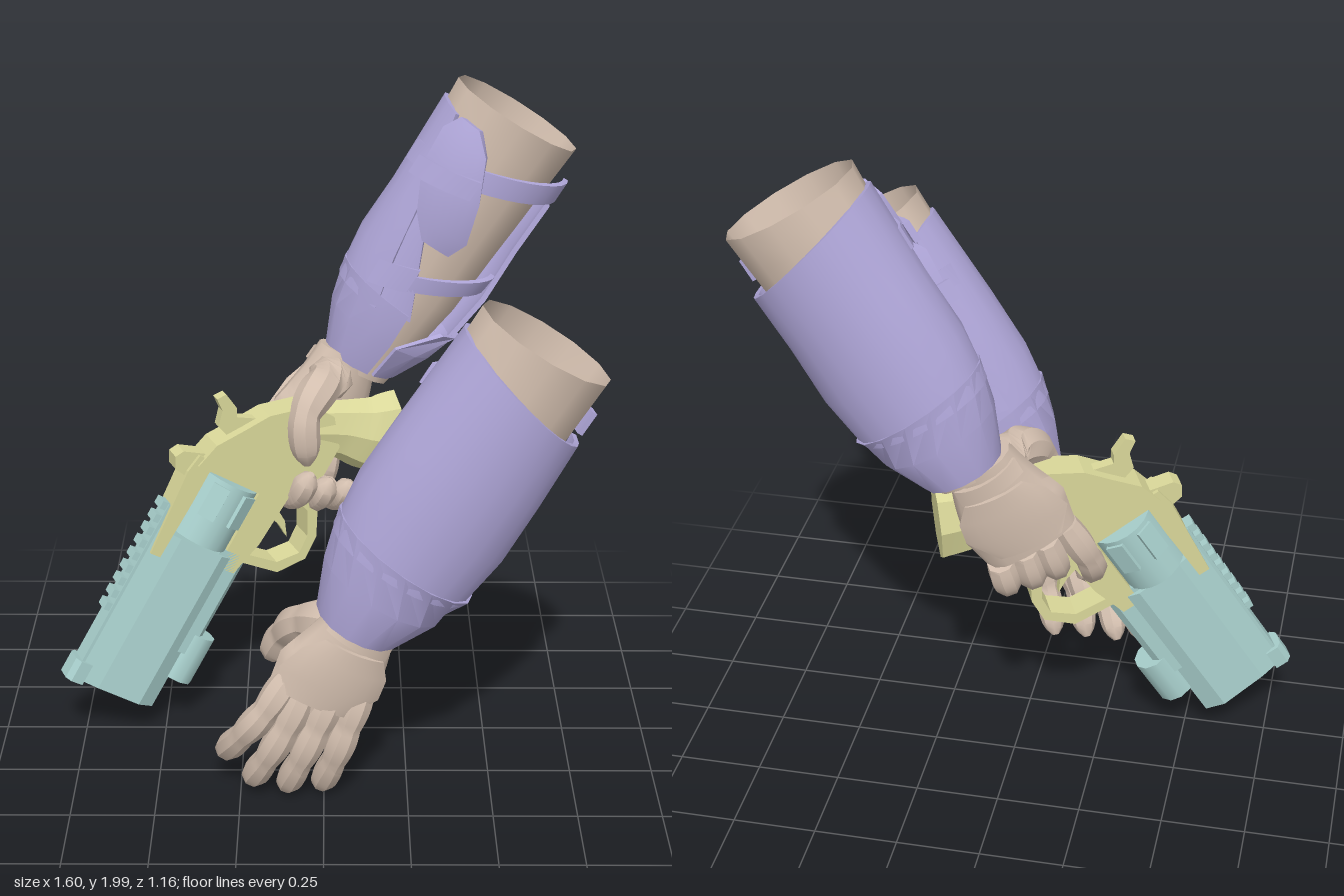
import * as THREE from 'three';
import { toCreasedNormals } from 'three/addons/utils/BufferGeometryUtils.js';

const mat = (name, color) => {
  const m = new THREE.MeshStandardMaterial({ color, side: THREE.DoubleSide });
  m.name = name;
  return m;
};
const V = (x, y, z) => new THREE.Vector3(x, y, z);
const RAD = Math.PI / 180;

export function createModel() {
  const skin = mat('skin', 0xd2beae), purple = mat('purple guard', 0xafa6d8);
  const teal = mat('teal metal', 0xa8cfcc), olive = mat('olive frame', 0xd9d799);
  const root = new THREE.Group();
  root.name = 'armsWithRevolver';

  const add = (parent, name, geo, m) => {
    const mesh = new THREE.Mesh(geo, m);
    mesh.name = name;
    parent.add(mesh);
    return mesh;
  };
  const group = (parent, name, x = 0, y = 0, z = 0, rz = 0) => {
    const g = new THREE.Group();
    g.name = name;
    g.position.set(x, y, z);
    g.rotation.z = rz;
    parent.add(g);
    return g;
  };

  // Skin a list of closed rings, with optional end caps
  function loft(rings, { caps = false, flip = false, crease = 0.65 } = {}) {
    const n = rings[0].length, pos = [], idx = [];
    const tri = (a, b, c) => (flip ? idx.push(a, c, b) : idx.push(a, b, c));
    rings.forEach((r) => r.forEach((p) => pos.push(p.x, p.y, p.z)));
    for (let j = 0; j < rings.length - 1; j++) {
      for (let k = 0; k < n; k++) {
        const a = j * n + k, b = j * n + (k + 1) % n;
        tri(a, b, a + n);
        tri(b, b + n, a + n);
      }
    }
    if (caps) {
      [0, rings.length - 1].forEach((j) => {
        const c = rings[j].reduce((s, p) => s.add(p), V(0, 0, 0)).divideScalar(n);
        const ci = pos.length / 3;
        pos.push(c.x, c.y, c.z);
        for (let k = 0; k < n; k++) {
          const a = j * n + k, b = j * n + (k + 1) % n;
          if (j) tri(ci, a, b); else tri(ci, b, a);
        }
      });
    }
    const g = new THREE.BufferGeometry();
    g.setAttribute('position', new THREE.Float32BufferAttribute(pos, 3));
    g.setIndex(idx);
    return toCreasedNormals(g, crease);
  }

  // Sweep an ellipse along points [x, y, z, radius along wide, other radius]
  function limb(parent, name, m, pts, wide, o = {}) {
    const { sides = 10, samples = 12, round = false, joints = 0, caps = true, crease = 0.75 } = o;
    const curve = new THREE.CatmullRomCurve3(pts.map((p) => V(p[0], p[1], p[2])));
    const rings = [];
    for (let i = 0; i <= samples; i++) {
      const u = i / samples, f = u * (pts.length - 1);
      const k = Math.min(Math.floor(f), pts.length - 2), w = f - k;
      let q = round && u > 0.87 ? Math.sqrt(Math.max(0.1, 1 - ((u - 0.87) / 0.13) ** 2)) : 1;
      if (joints) q *= 0.88 + 0.14 * Math.abs(Math.sin(joints * Math.PI * u));
      const ra = q * (pts[k][3] + (pts[k + 1][3] - pts[k][3]) * w);
      const rb = q * (pts[k][4] + (pts[k + 1][4] - pts[k][4]) * w);
      const c = curve.getPoint(u), t = curve.getTangent(u);
      const s = wide.clone().addScaledVector(t, -wide.dot(t)).normalize();
      const nn = t.clone().cross(s);
      rings.push(Array.from({ length: sides }, (_, e) => {
        const a = (e / sides) * Math.PI * 2;
        return c.clone().addScaledVector(s, ra * Math.cos(a)).addScaledVector(nn, rb * Math.sin(a));
      }));
    }
    return add(parent, name, loft(rings, { caps, crease }), m);
  }

  // Curved plate round the arm; rows are [y, rx, rz, startDeg, endDeg, tilt]
  function shell(parent, name, m, rows, s, thick = 0.016, steps = 14) {
    const ring = (r, th) => {
      const [y, rx, rz, a0, a1, tilt = 0] = r;
      const pts = [];
      for (let i = 0; i < 2 * steps + 2; i++) {
        const inner = i > steps, u = (inner ? 2 * steps + 1 - i : i) / steps;
        const a = (a0 + (a1 - a0) * u) * RAD, d = inner ? thick : thick - th;
        pts.push(V(0.01 + (rx - d) * Math.cos(a), y + tilt * Math.cos(a), s * (rz - d) * Math.sin(a)));
      }
      return pts;
    };
    const rings = [ring(rows[0], 0), ...rows.map((r) => ring(r, thick)), ring(rows[rows.length - 1], 0)];
    return add(parent, name, loft(rings, { flip: s < 0, crease: 0.5 }), m);
  }

  // Flat outline with thickness, centred on z
  function slab(parent, name, m, pts, depth) {
    const shape = new THREE.Shape(pts.map((p) => new THREE.Vector2(p[0], p[1])));
    const g = new THREE.ExtrudeGeometry(shape, { depth, bevelEnabled: false });
    g.translate(0, 0, -depth / 2);
    return add(parent, name, g, m);
  }

  // Palm with raised plates on its back, hanging down from the wrist
  function hand(parent, x, y, z, rz, s) {
    const g = group(parent, 'hand', x, y, z, rz);
    limb(g, 'palm', skin, [[0, 0.03, 0, 0.095, 0.085], [0.01, -0.09, 0, 0.13, 0.083],
      [0.01, -0.2, 0.005 * s, 0.162, 0.076], [0.01, -0.31, 0.02 * s, 0.14, 0.05]], V(1, 0, 0), { sides: 14 });
    shell(g, 'handPlate', skin, [[-0.06, 0.135, 0.096, 45, 130, 0.015], [-0.12, 0.162, 0.096, 30, 142, 0.015],
      [-0.2, 0.178, 0.094, 30, 148, 0.03], [-0.275, 0.165, 0.086, 55, 125, 0.02]], s, 0.02, 10);
    shell(g, 'wristPlate', skin, [[0.0, 0.115, 0.096, 30, 150], [-0.048, 0.13, 0.096, 40, 140]], s, 0.02, 10);
  }

  // Forearm with guard; s is the side it faces, k its length, q its lower girth
  function arm(name, x, y, z, s, k, q) {
    const g = group(root, name, x, y, z, -0.546);
    const wrap = (part, rows, ...o) =>
      shell(g, part, purple, rows.map(([h, rx, rz, ...r]) => {
        const w = h < -0.35 ? q : 1;
        return [h * k, rx * w, rz * w, ...r];
      }), s, ...o);
    limb(g, 'forearm', skin, [[0, 0, 0, 0.21, 0.167], [0, -0.35 * k, 0, 0.205 * q, 0.162 * q],
      [0.01, -0.7 * k, 0, 0.175 * q, 0.14 * q], [0.02, -1.04 * k, -0.01 * s, 0.1, 0.085]],
    V(1, 0, 0), { caps: false, samples: 9, sides: 12, crease: 1.1 });
    wrap('forearmGuard', [[-0.14, 0.228, 0.182, -12, 215, -0.06], [-0.4, 0.24, 0.19, -12, 232],
      [-0.6, 0.245, 0.188, -14, 240], [-0.78, 0.222, 0.178, -16, 248]]);
    wrap('wristCuff', [[-0.74, 0.236, 0.186, -45, 275, -0.02], [-0.87, 0.195, 0.172, -75, 278],
      [-1.01, 0.13, 0.135, -70, 280, 0.01]]);
    wrap('upperStrap', [[-0.17, 0.232, 0.195, 190, 356, 0.06], [-0.245, 0.232, 0.195, 190, 356, 0.06]]);
    wrap('lowerStrap', [[-0.6, 0.225, 0.18, 195, 352, 0.08], [-0.66, 0.22, 0.175, 195, 352, 0.08]]);
    // padded plate under the strap buckle
    wrap('buckleShield', [[-0.08, 0.225, 0.195, 220, 240], [-0.14, 0.235, 0.21, 212, 256],
      [-0.28, 0.24, 0.22, 216, 270], [-0.42, 0.235, 0.22, 232, 280], [-0.49, 0.225, 0.2, 248, 274]], 0.03, 8);
    wrap('buckle', [[-0.2, 0.255, 0.235, 212, 262, 0.06], [-0.27, 0.255, 0.235, 212, 262, 0.06]], 0.02, 6);
    wrap('innerFlap', [[-0.36, 0.225, 0.18, 210, 240], [-0.5, 0.235, 0.185, 212, 252],
      [-0.76, 0.215, 0.175, 222, 280]]);
    wrap('lowerBuckle', [[-0.57, 0.235, 0.19, 228, 262, 0.08], [-0.66, 0.23, 0.188, 228, 262, 0.08]], 0.02, 6);
    return g;
  }
  hand(arm('leftArm', 0.61, 1.46, 0.39, 1, 1, 1), 0.02, -1, 0, 0, 1);
  arm('rightArm', 0.575, 1.89, -0.395, -1, 0.9, 0.93);

  // Fingers: tapering, with joints
  function finger(parent, name, pts, r0, r1) {
    const n = pts.length - 1;
    limb(parent, name, skin, pts.map((p, i) => {
      const r = r0 + (r1 - r0) * (i / n);
      return [...p, r, r];
    }), V(0.8, -0.45, -0.4), { round: true, joints: 3, samples: 24, sides: 8 });
  }
  const open = group(root, 'openHandFingers');
  [['indexFinger', [[-0.1, 0.42, 0.41], [-0.17, 0.32, 0.43], [-0.24, 0.22, 0.4], [-0.31, 0.085, 0.28]]],
    ['middleFinger', [[-0.05, 0.4, 0.42], [-0.11, 0.27, 0.44], [-0.17, 0.15, 0.42], [-0.225, 0.025, 0.34]]],
    ['ringFinger', [[0.03, 0.39, 0.42], [-0.02, 0.27, 0.44], [-0.07, 0.15, 0.43], [-0.12, 0.01, 0.36]]],
    ['littleFinger', [[0.11, 0.39, 0.41], [0.07, 0.27, 0.43], [0.03, 0.15, 0.42], [-0.015, 0.01, 0.35]]],
  ].forEach(([n, p]) => finger(open, n, p, 0.05, 0.04));
  finger(open, 'thumb', [[0.05, 0.56, 0.34], [-0.05, 0.52, 0.25], [-0.12, 0.43, 0.165], [-0.17, 0.32, 0.105]], 0.075, 0.042);

  // Revolver, with the gripping hand turned along with it
  const gun = group(root, 'revolver', 0, 0, -0.25);
  gun.rotation.y = 0.398;
  limb(gun, 'gripStock', olive, [[-0.14, 0.95, 0, 0.075, 0.05], [0.05, 0.92, 0, 0.095, 0.06],
    [0.15, 0.89, 0, 0.125, 0.08], [0.225, 0.885, 0, 0.135, 0.09]], V(0, 1, 0), { sides: 8, crease: 0.4 });
  hand(gun, 0.1, 1.11, -0.09, -0.5, -1);
  [['indexFinger', [[-0.13, 0.89, -0.11], [-0.2, 0.77, -0.11], [-0.23, 0.68, -0.05], [-0.22, 0.63, 0.04]]],
    ['middleFinger', [[-0.07, 0.85, -0.12], [-0.11, 0.74, -0.1], [-0.11, 0.72, 0.02], [-0.08, 0.82, 0.085]]],
    ['ringFinger', [[-0.01, 0.82, -0.12], [-0.04, 0.715, -0.1], [-0.04, 0.7, 0.02], [-0.02, 0.79, 0.09]]],
    ['littleFinger', [[0.06, 0.79, -0.12], [0.035, 0.7, -0.1], [0.035, 0.69, 0.02], [0.045, 0.77, 0.09]]],
  ].forEach(([n, p]) => finger(gun, n, p, 0.046, 0.04));
  finger(gun, 'thumb', [[0.06, 1.06, -0.08], [0, 1.09, 0.01], [-0.1, 1.02, 0.085], [-0.1, 0.86, 0.1]], 0.075, 0.042);

  // Revolver body: x runs from muzzle to hammer, y towards the sights
  const g = group(gun, 'revolverBody', -0.727, 0.17, 0, 1.016);

  // Extrude a mirrored half section [halfWidth, height] along x
  function prism(name, m, half, x0, x1) {
    const pts = [...half, ...half.slice().reverse().map(([w, h]) => [-w, h])];
    const shape = new THREE.Shape(pts.map((p) => new THREE.Vector2(p[0], p[1])));
    const geo = new THREE.ExtrudeGeometry(shape, { depth: x1 - x0, bevelEnabled: false });
    geo.rotateY(Math.PI / 2).translate(x0, 0, 0);
    return add(g, name, geo, m);
  }
  const rod = (name, m, x0, x1, y, r, sides) => {
    const geo = new THREE.CylinderGeometry(r, r, x1 - x0, sides);
    geo.rotateZ(Math.PI / 2).translate((x0 + x1) / 2, y, 0);
    return add(g, name, geo, m);
  };
  prism('barrel', teal, [[0.04, -0.145], [0.067, -0.085], [0.05, 0.06], [0.03, 0.135]], 0, 0.54);
  prism('barrelRib', teal, [[0.03, 0.1], [0.03, 0.145]], 0.02, 0.62);
  prism('frontSight', teal, [[0.042, 0.11], [0.042, 0.15], [0.025, 0.165]], -0.01, 0.06);
  for (let i = 0; i < 9; i++) {
    add(g, 'ribNotch', new THREE.BoxGeometry(0.026, 0.03, 0.05), teal).position.set(0.25 + i * 0.045, 0.15, 0);
  }
  prism('ejectorHousing', teal, [[0.03, -0.185], [0.05, -0.165], [0.05, -0.08]], 0.2, 0.56);
  rod('ejectorKnob', teal, 0.11, 0.27, -0.18, 0.06, 10);
  rod('cylinderDrum', teal, 0.555, 0.765, -0.005, 0.1, 18);
  for (let i = 0; i < 6; i++) {
    const a = (i / 6) * Math.PI * 2;
    const rib = add(g, 'drumRib', new THREE.BoxGeometry(0.11, 0.02, 0.055), teal);
    rib.position.set(0.695, -0.005 + 0.097 * Math.cos(a), 0.097 * Math.sin(a));
    rib.rotation.x = a;
  }
  // frame
  slab(g, 'topStrap', olive, [[0.46, 0.09], [0.46, 0.125], [0.74, 0.15], [0.8, 0.14], [0.8, 0.08]], 0.085);
  slab(g, 'frame', olive, [[0.5, -0.1], [0.5, -0.16], [0.62, -0.19], [0.8, -0.2], [0.9, -0.27], [1.0, -0.27],
    [1.08, -0.2], [1.08, -0.11], [1.0, 0.0], [0.93, 0.05], [0.85, 0.11], [0.77, 0.13], [0.765, -0.1]], 0.1);
  slab(g, 'rearSight', olive, [[0.72, 0.13], [0.73, 0.185], [0.765, 0.205], [0.79, 0.19], [0.81, 0.12]], 0.06);
  slab(g, 'hammer', olive, [[0.88, 0.06], [0.9, 0.12], [0.95, 0.135], [0.975, 0.17], [1.0, 0.15],
    [0.975, 0.095], [0.95, 0.08], [0.97, 0.02]], 0.035);
  slab(g, 'triggerGuard', olive, [[0.85, -0.19], [0.8, -0.31], [0.71, -0.36], [0.63, -0.365], [0.555, -0.3],
    [0.54, -0.16], [0.57, -0.16], [0.585, -0.28], [0.64, -0.335], [0.7, -0.33], [0.775, -0.285], [0.805, -0.19]], 0.09);
  slab(g, 'trigger', olive, [[0.75, -0.18], [0.71, -0.25], [0.665, -0.285], [0.69, -0.24], [0.71, -0.18]], 0.03);
  return root;
}
